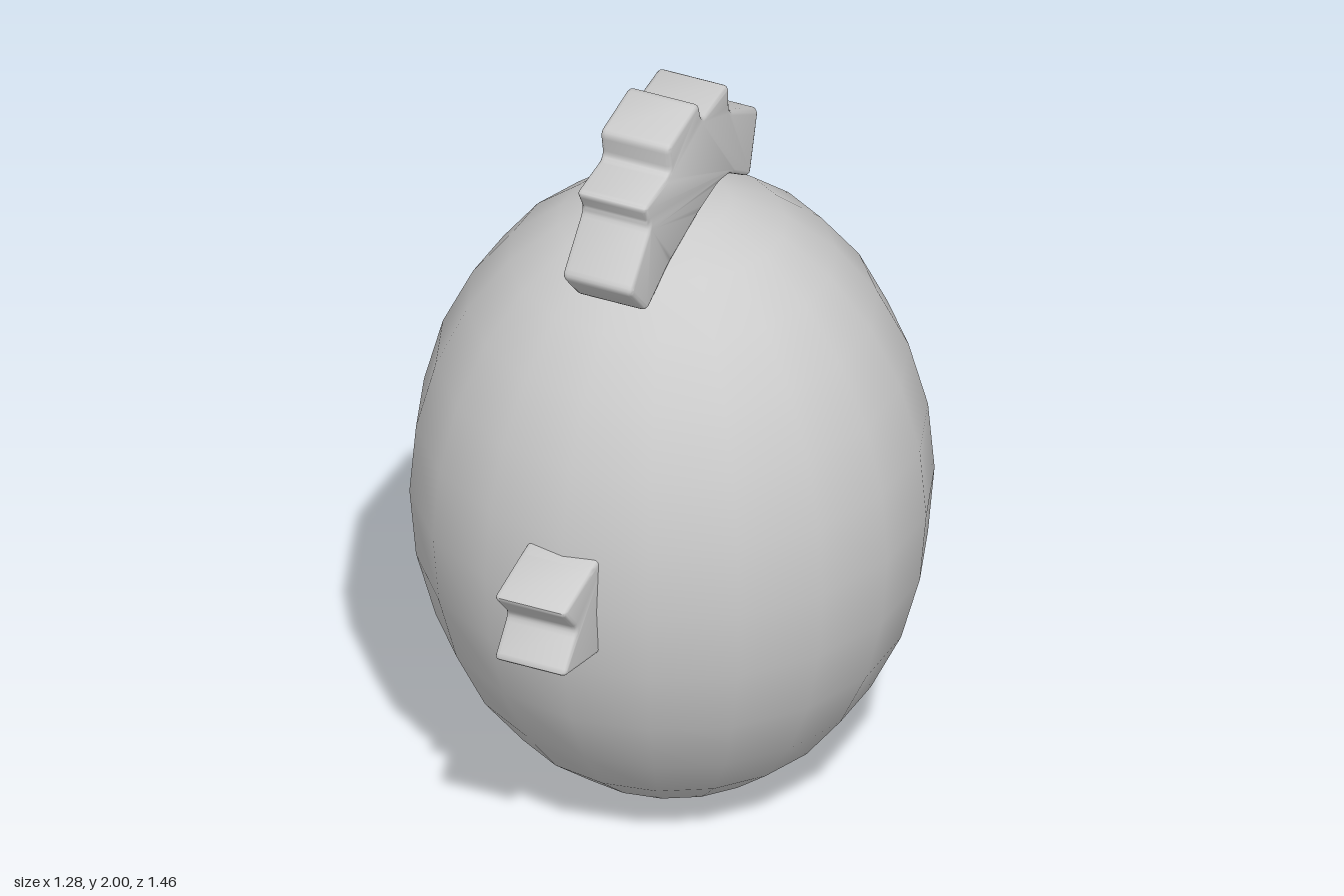
import * as THREE from 'three';
import { toCreasedNormals } from 'three/addons/utils/BufferGeometryUtils.js';

const material = new THREE.MeshStandardMaterial({ color: 0xcccccc });

// Closed outline with each corner softened by a short curve.
function roundedShape(points, radius) {
  const pts = points.map(([z, y]) => new THREE.Vector2(z, y));
  const shape = new THREE.Shape();
  pts.forEach((p, i) => {
    const toward = (q) => {
      const d = q.clone().sub(p);
      return p.clone().add(d.setLength(Math.min(radius, d.length() * 0.4)));
    };
    const a = toward(pts[(i + pts.length - 1) % pts.length]);
    const b = toward(pts[(i + 1) % pts.length]);
    if (i === 0) shape.moveTo(a.x, a.y);
    else shape.lineTo(a.x, a.y);
    shape.quadraticCurveTo(p.x, p.y, b.x, b.y);
  });
  shape.closePath();
  return shape;
}

// Slab from a (z, y) outline, centred across x, with softened edges.
function slab(name, points, width, centreX) {
  const bevel = 0.012;
  let geo = new THREE.ExtrudeGeometry(roundedShape(points, 0.022), {
    depth: width - 2 * bevel,
    curveSegments: 4,
    bevelEnabled: true,
    bevelThickness: bevel,
    bevelSize: bevel,
    bevelOffset: -bevel,
    bevelSegments: 3,
  });
  geo.translate(0, 0, -(width - 2 * bevel) / 2);
  geo.rotateY(-Math.PI / 2);
  geo.translate(centreX, 0, 0);
  geo = toCreasedNormals(geo, Math.PI / 4);
  const mesh = new THREE.Mesh(geo, material);
  mesh.name = name;
  return mesh;
}

export function createModel() {
  const group = new THREE.Group();
  group.name = 'eggBird';

  // Egg-shaped body, with a column of vertices facing front and back
  const bodyGeo = new THREE.SphereGeometry(1, 18, 14);
  bodyGeo.rotateY(Math.PI / 2);
  bodyGeo.scale(0.652, 0.843, 0.65);
  bodyGeo.translate(0, 0.844, -0.08);
  const body = new THREE.Mesh(bodyGeo, material);
  body.name = 'body';
  group.add(body);

  // Stepped comb fanning over the crown
  group.add(slab('comb', [
    [0.362, 1.667], [0.24, 1.8], [0.278, 1.867], [0.125, 1.885],
    [0.14, 1.967], [-0.038, 2.002], [-0.055, 1.938], [-0.212, 1.957],
    [-0.215, 1.872], [-0.385, 1.785], [-0.335, 1.61], [-0.22, 1.685],
    [-0.15, 1.697], [-0.03, 1.675], [0.14, 1.625], [0.265, 1.56],
  ], 0.19, 0));

  // Open beak with a V-shaped mouth
  group.add(slab('beak', [
    [0.48, 1.0], [0.57, 0.985], [0.742, 0.943], [0.66, 0.855],
    [0.742, 0.759], [0.57, 0.722], [0.48, 0.705],
  ], 0.195, -0.005));

  return group;
}
